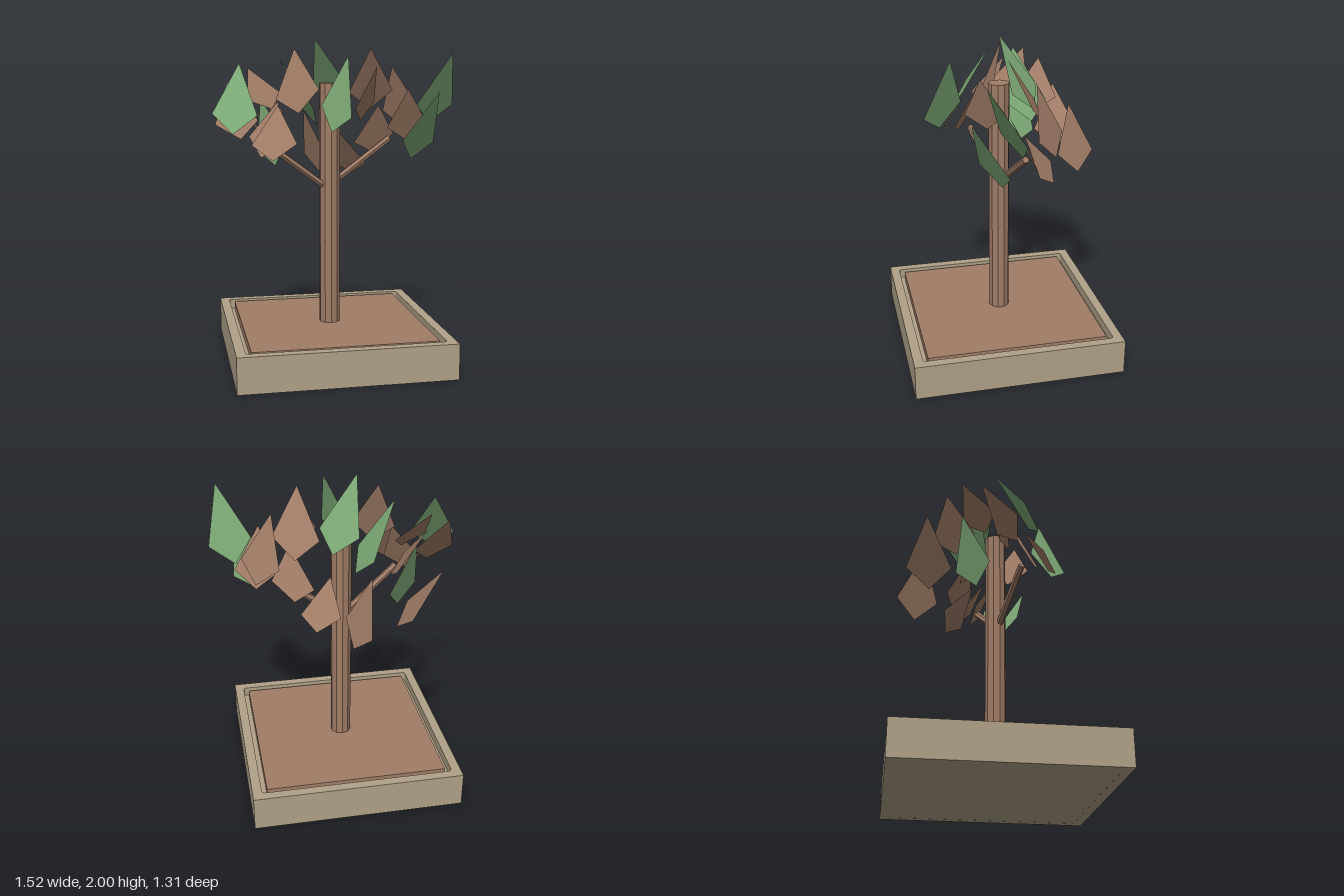
import * as THREE from 'three';

export function createModel() {
  const model = new THREE.Group();
  const mat = (name, color, extra = {}) => {
    const m = new THREE.MeshStandardMaterial({ color, ...extra });
    m.name = name;
    return m;
  };
  const sand = mat('sandStone', 0xb0a188);
  const brown = mat('barkBrown', 0xa07c66, { flatShading: true, side: THREE.DoubleSide });
  const green = mat('leafGreen', 0x7ca875, { flatShading: true, side: THREE.DoubleSide });

  const add = (name, geometry, material, x = 0, y = 0, z = 0) => {
    const mesh = new THREE.Mesh(geometry, material);
    mesh.name = name;
    mesh.position.set(x, y, z);
    model.add(mesh);
    return mesh;
  };
  const CX = -0.03; // centre line of planter and trunk

  // Planter: square rim with a slightly rounded opening, on a solid floor
  const square = (Type, h, r) => {
    const s = new Type();
    s.moveTo(-h + r, -h);
    for (const [cx, cy, a] of [[1, -1, -1], [1, 1, 0], [-1, 1, 1], [-1, -1, 2]]) {
      if (r > 0) s.absarc(cx * (h - r), cy * (h - r), r, a * Math.PI / 2, (a + 1) * Math.PI / 2, false);
      else s.lineTo(cx * h, cy * h);
    }
    s.closePath();
    return s;
  };
  const rim = square(THREE.Shape, 0.655, 0);
  rim.holes.push(square(THREE.Path, 0.597, 0.02));
  const rimGeo = new THREE.ExtrudeGeometry(rim, { depth: 0.22, bevelEnabled: false, curveSegments: 3 });
  rimGeo.rotateX(-Math.PI / 2);
  add('planterRim', rimGeo, sand, CX);
  add('planterFloor', new THREE.BoxGeometry(1.2, 0.159, 1.2), sand, CX, 0.08);
  add('soil', new THREE.BoxGeometry(1.125, 0.065, 1.125), brown, CX, 0.1825);

  // Trunk and the two branches
  add('trunk', new THREE.CylinderGeometry(0.065, 0.065, 1.53, 10), brown, CX, 0.965);
  const branch = (name, from, to) => {
    const a = new THREE.Vector3(...from), b = new THREE.Vector3(...to);
    const dir = b.clone().sub(a);
    const mesh = add(name, new THREE.CylinderGeometry(0.021, 0.021, dir.length(), 6), brown);
    mesh.position.copy(a).add(b).multiplyScalar(0.5);
    mesh.quaternion.setFromUnitVectors(new THREE.Vector3(0, 1, 0), dir.normalize());
  };
  branch('leftBranch', [-0.02, 1.1, -0.005], [0.37, 1.375, -0.07]);
  branch('rightBranch', [-0.04, 1.07, 0.01], [-0.4, 1.34, 0.11]);

  // Flat kite leaves, each given by tip and two side corners;
  // the lower corner mirrors the tip across the leaf's width
  const leaf = (name, material, ratio, c) => {
    const tip = new THREE.Vector3(c[0], c[1], c[2]);
    const a = new THREE.Vector3(c[3], c[4], c[5]);
    const b = new THREE.Vector3(c[6], c[7], c[8]);
    const mid = a.clone().add(b).multiplyScalar(0.5);
    const bottom = mid.clone().addScaledVector(mid.clone().sub(tip), ratio);
    const geo = new THREE.BufferGeometry().setFromPoints([tip, a, bottom, b]);
    geo.setIndex([0, 1, 2, 0, 2, 3]);
    geo.computeVertexNormals();
    add(name, geo, material);
  };

  const greenLeaves = [
    [-0.58, 1.85, -0.08, -0.76, 1.55, 0.07, -0.495, 1.54, 0.14],
    [0.69, 1.91, 0.225, 0.5, 1.595, 0.11, 0.76, 1.59, 0.02],
    [0.59, 1.68, 0.29, 0.385, 1.38, 0.21, 0.62, 1.36, 0.08],
    [0.025, 1.895, 0.305, -0.12, 1.6, 0.22, 0.01, 1.54, 0.47],
    [-0.12, 2.0, -0.02, -0.09, 1.69, -0.25, 0.11, 1.69, -0.05],
    [-0.32, 1.88, -0.15, -0.16, 1.57, -0.33, -0.12, 1.57, -0.07],
    [-0.43, 1.64, -0.26, -0.475, 1.31, -0.095, -0.27, 1.33, -0.28],
  ];
  const brownLeaves = [
    [-0.53, 1.56, -0.48, -0.33, 1.31, -0.59, -0.37, 1.3, -0.315],
    [-0.46, 1.76, -0.36, -0.27, 1.54, -0.43, -0.38, 1.555, -0.176],
    [-0.51, 1.82, -0.27, -0.53, 1.62, -0.07, -0.3, 1.66, -0.24],
    [-0.65, 1.73, -0.17, -0.74, 1.48, 0.03, -0.47, 1.5, -0.05],
    [-0.36, 1.62, 0.07, -0.54, 1.41, 0.07, -0.35, 1.36, 0.22],
    [-0.37, 1.6, 0.13, -0.54, 1.37, 0.22, -0.28, 1.38, 0.3],
    [-0.24, 1.94, -0.06, -0.37, 1.63, 0.03, -0.1, 1.69, 0.02],
    [-0.12, 1.54, -0.47, -0.09, 1.23, -0.63, 0.01, 1.25, -0.37],
    [0.06, 1.41, -0.14, 0.03, 1.22, -0.32, 0.25, 1.2, -0.19],
    [0.23, 1.94, 0.01, 0.13, 1.66, -0.18, 0.4, 1.68, -0.1],
    [0.4, 1.83, -0.12, 0.38, 1.54, -0.28, 0.58, 1.55, -0.09],
    [0.46, 1.69, 0.06, 0.36, 1.44, -0.08, 0.62, 1.46, -0.04],
    [0.23, 1.83, 0.17, 0.085, 1.58, 0.235, 0.25, 1.61, 0.02],
    [0.29, 1.59, -0.03, 0.16, 1.34, -0.16, 0.41, 1.4, -0.11],
  ];
  greenLeaves.forEach((c, i) => leaf(`greenLeaf${i + 1}`, green, 0.37, c));
  brownLeaves.forEach((c, i) => leaf(`brownLeaf${i + 1}`, brown, 0.41, c));

  return model;
}
